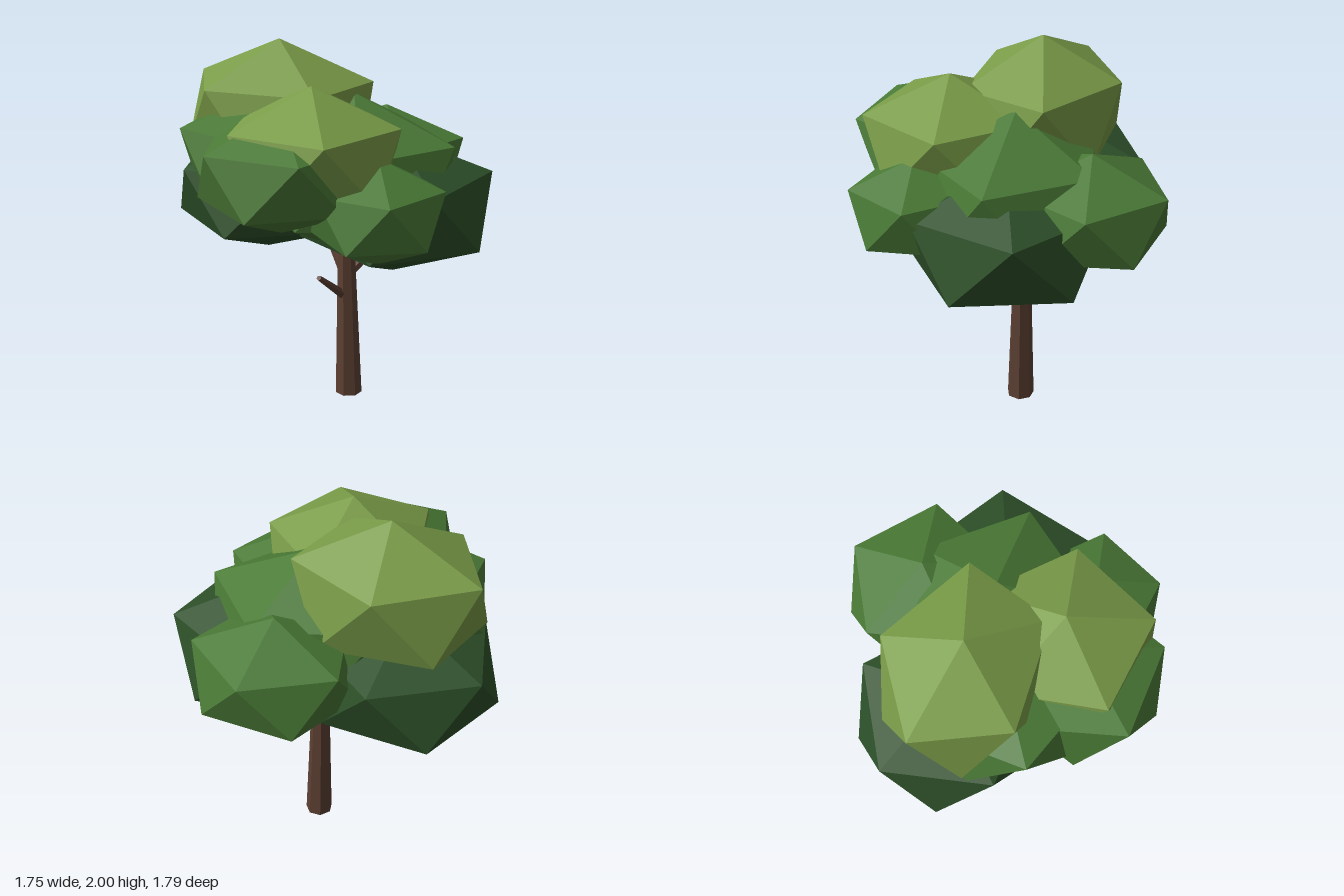
import * as THREE from 'three';

const flat = (name, color) => {
  const m = new THREE.MeshStandardMaterial({ color, flatShading: true });
  m.name = name;
  return m;
};

// Squashed icosahedron standing on a vertex; deg turns its upper ring of corners about y
function leafClump(name, material, [x, y, z], [rx, ry, rz], deg) {
  const geo = new THREE.IcosahedronGeometry(1, 0);
  geo.rotateZ(Math.atan(2 / (1 + Math.sqrt(5))));
  geo.rotateY(Math.PI - THREE.MathUtils.degToRad(deg));
  geo.scale(rx, ry, rz);
  const mesh = new THREE.Mesh(geo, material);
  mesh.name = name;
  mesh.position.set(x, y, z);
  return mesh;
}

// Tapered limb between two points
function limb(name, material, from, to, r0, r1, sides) {
  const a = new THREE.Vector3(...from), b = new THREE.Vector3(...to);
  const dir = b.clone().sub(a);
  const mesh = new THREE.Mesh(new THREE.CylinderGeometry(r1, r0, dir.length(), sides), material);
  mesh.name = name;
  mesh.position.copy(a).add(b).multiplyScalar(0.5);
  mesh.quaternion.setFromUnitVectors(new THREE.Vector3(0, 1, 0), dir.normalize());
  return mesh;
}

export function createModel() {
  const tree = new THREE.Group();
  tree.name = 'tree';
  const bark = flat('bark brown', 0x5c4033);
  const dark = flat('dark leaf green', 0x2d5029);
  const mid = flat('leaf green', 0x4a7a36);
  const light = flat('light leaf green', 0x7a9c48);

  // Trunk: upright so its foot lies flat, sheared a little toward -x
  const trunkGeo = new THREE.CylinderGeometry(0.047, 0.075, 0.89, 7);
  trunkGeo.translate(0, 0.445, 0);
  trunkGeo.applyMatrix4(new THREE.Matrix4().makeShear(0, 0, -0.022, 0, 0, 0));
  const trunk = new THREE.Mesh(trunkGeo, bark);
  trunk.name = 'trunk';
  trunk.position.set(0.112, 0, -0.087);
  tree.add(trunk);

  // Branches
  tree.add(
    limb('frontBranch', bark, [0.09, 0.58, -0.08], [0.03, 0.765, 0.155], 0.028, 0.015, 5),
    limb('leftBranch', bark, [0.1, 0.7, -0.1], [0.31, 0.95, -0.25], 0.026, 0.016, 5),
    limb('rightBranch', bark, [0.09, 0.69, -0.09], [-0.13, 1.02, -0.22], 0.026, 0.015, 5),
  );

  // Canopy: name, colour, centre, radii, turn of the upper corners
  const clumps = [
    ['lowerRightLeaves', dark, [-0.39, 1.155, -0.125], [0.56, 0.355, 0.55], 202],
    ['lowerLeftLeaves', dark, [0.36, 1.155, -0.095], [0.585, 0.385, 0.585], -24],
    ['middleLeaves', mid, [0.14, 1.3, -0.07], [0.615, 0.445, 0.545], -3],
    ['frontLeaves', mid, [-0.05, 1.44, 0.46], [0.48, 0.325, 0.48], 55],
    ['rightLeaves', mid, [-0.265, 1.455, 0.12], [0.53, 0.3, 0.53], 144],
    ['backLeaves', mid, [0.175, 1.27, -0.49], [0.48, 0.315, 0.455], -14],
    ['frontLeftLeaves', mid, [0.435, 1.26, 0.37], [0.38, 0.28, 0.385], -12],
    ['upperFrontLeaves', light, [0.06, 1.5, 0.325], [0.51, 0.36, 0.515], -12],
    ['topLeaves', light, [-0.285, 1.59, -0.065], [0.575, 0.41, 0.475], 193],
  ];
  for (const c of clumps) tree.add(leafClump(...c));
  return tree;
}
